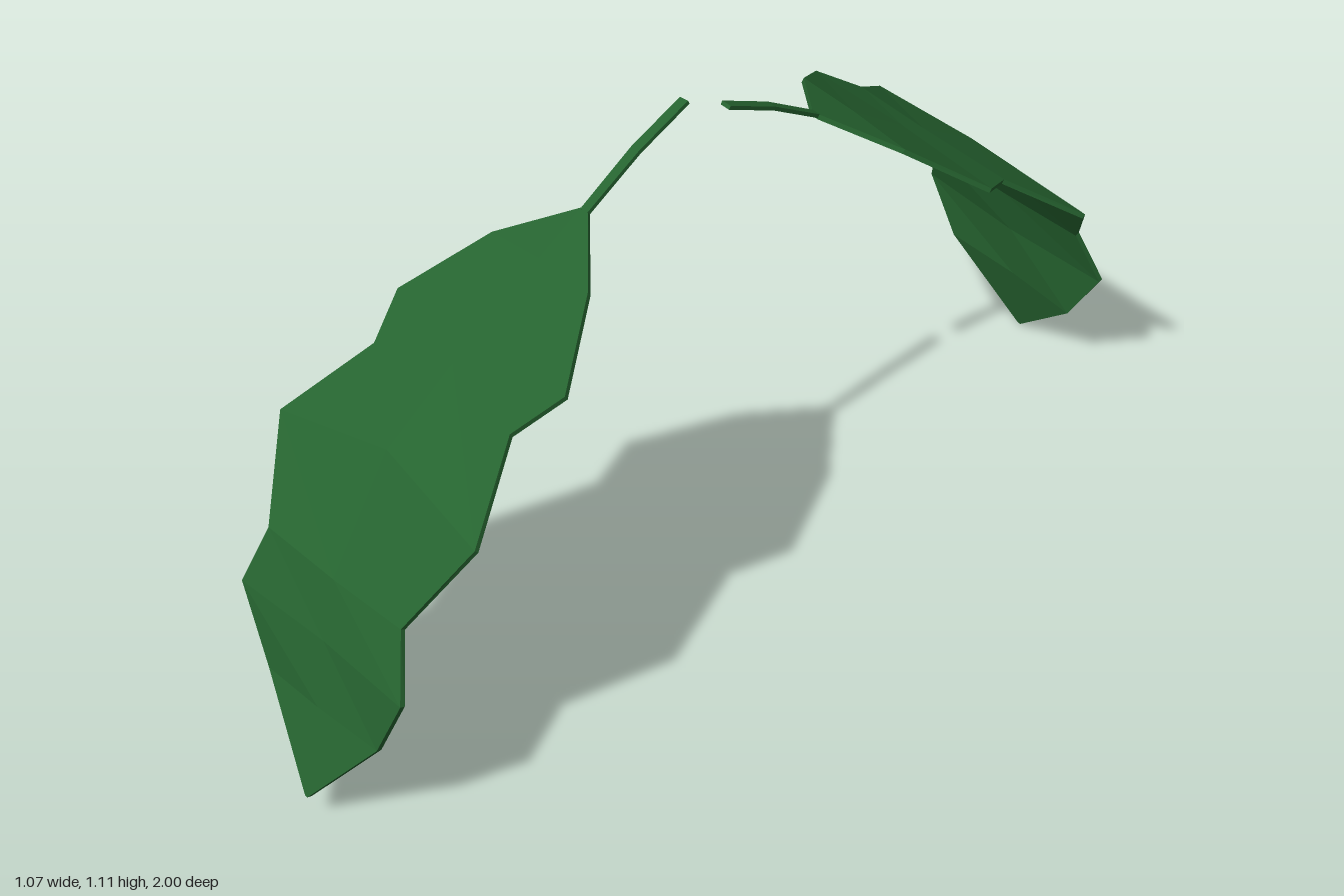
import * as THREE from 'three';

const leafGreen = new THREE.MeshStandardMaterial({ color: 0x266430, flatShading: true });
leafGreen.name = 'leafGreen';

// Thin solid slab lofted over rows of [left, middle, right] points
function slab(rows, thickness) {
  const pts = rows.map(r => r.map(p => new THREE.Vector3(...p)));
  const pos = [];
  const rings = pts.map(([l, m, r], i) => {
    const along = pts[Math.min(i + 1, pts.length - 1)][1].clone().sub(pts[Math.max(i - 1, 0)][1]);
    const n = along.cross(r.clone().sub(l)).normalize().multiplyScalar(thickness / 2);
    return [l.clone().add(n), m.clone().add(n), r.clone().add(n),
      r.clone().sub(n), m.clone().sub(n), l.clone().sub(n)];
  });
  const tri = (...vs) => vs.forEach(v => pos.push(v.x, v.y, v.z));
  for (let i = 0; i < rings.length - 1; i++) {
    const a = rings[i], b = rings[i + 1];
    for (let k = 0; k < 6; k++) {
      const j = (k + 1) % 6;
      tri(a[k], b[k], b[j]);
      tri(a[k], b[j], a[j]);
    }
  }
  const first = rings[0], last = rings[rings.length - 1];
  for (let k = 1; k < 5; k++) {
    tri(first[0], first[k], first[k + 1]);
    tri(last[0], last[k + 1], last[k]);
  }
  const g = new THREE.BufferGeometry();
  g.setAttribute('position', new THREE.Float32BufferAttribute(pos, 3));
  g.computeVertexNormals();
  return g;
}

// Narrow row centred on a point, for the stem and the leaf ends
const narrow = ([x, y, z], w) => [
  [x - w, y - w * 0.08, z - w * 0.4], [x, y, z], [x + w, y + w * 0.08, z + w * 0.4]];

function makeLeaf(name) {
  const leaf = new THREE.Group();
  leaf.name = name;

  // Scalloped blade drooping from base to tip
  const blade = new THREE.Mesh(slab([
    narrow([-0.097, 0.975, 0.272], 0.009),
    [[-0.26, 0.907, 0.318], [-0.135, 0.925, 0.375], [-0.006, 0.932, 0.437]],
    [[-0.407, 0.798, 0.412], [-0.19, 0.832, 0.5], [0.035, 0.838, 0.608]],
    [[-0.398, 0.75, 0.518], [-0.213, 0.795, 0.56], [-0.038, 0.779, 0.675]],
    [[-0.535, 0.633, 0.63], [-0.265, 0.693, 0.71], [-0.012, 0.668, 0.856]],
    [[-0.486, 0.484, 0.772], [-0.305, 0.49, 0.85], [-0.125, 0.505, 0.926]],
    [[-0.536, 0.362, 0.8], [-0.312, 0.375, 0.888], [-0.095, 0.392, 0.993]],
    [[-0.46, 0.222, 0.852], [-0.315, 0.24, 0.92], [-0.156, 0.255, 0.984]],
    narrow([-0.319, 0.067, 0.978], 0.003),
  ], 0.01), leafGreen);
  blade.name = 'blade';

  // Gently arched stem
  const stem = new THREE.Mesh(slab([
    narrow([-0.007, 1.105, 0.052], 0.01),
    narrow([-0.052, 1.05, 0.16], 0.01),
    narrow([-0.097, 0.975, 0.275], 0.009),
  ], 0.008), leafGreen);
  stem.name = 'stem';

  leaf.add(blade, stem);
  return leaf;
}

export function createModel() {
  const model = new THREE.Group();
  model.name = 'leafPair';
  const front = makeLeaf('frontLeaf');
  // Second leaf turned to the back and set slightly lower
  const back = makeLeaf('backLeaf');
  back.rotation.y = Math.PI + 0.035;
  back.position.set(0.02, -0.063, 0);
  model.add(front, back);
  return model;
}
